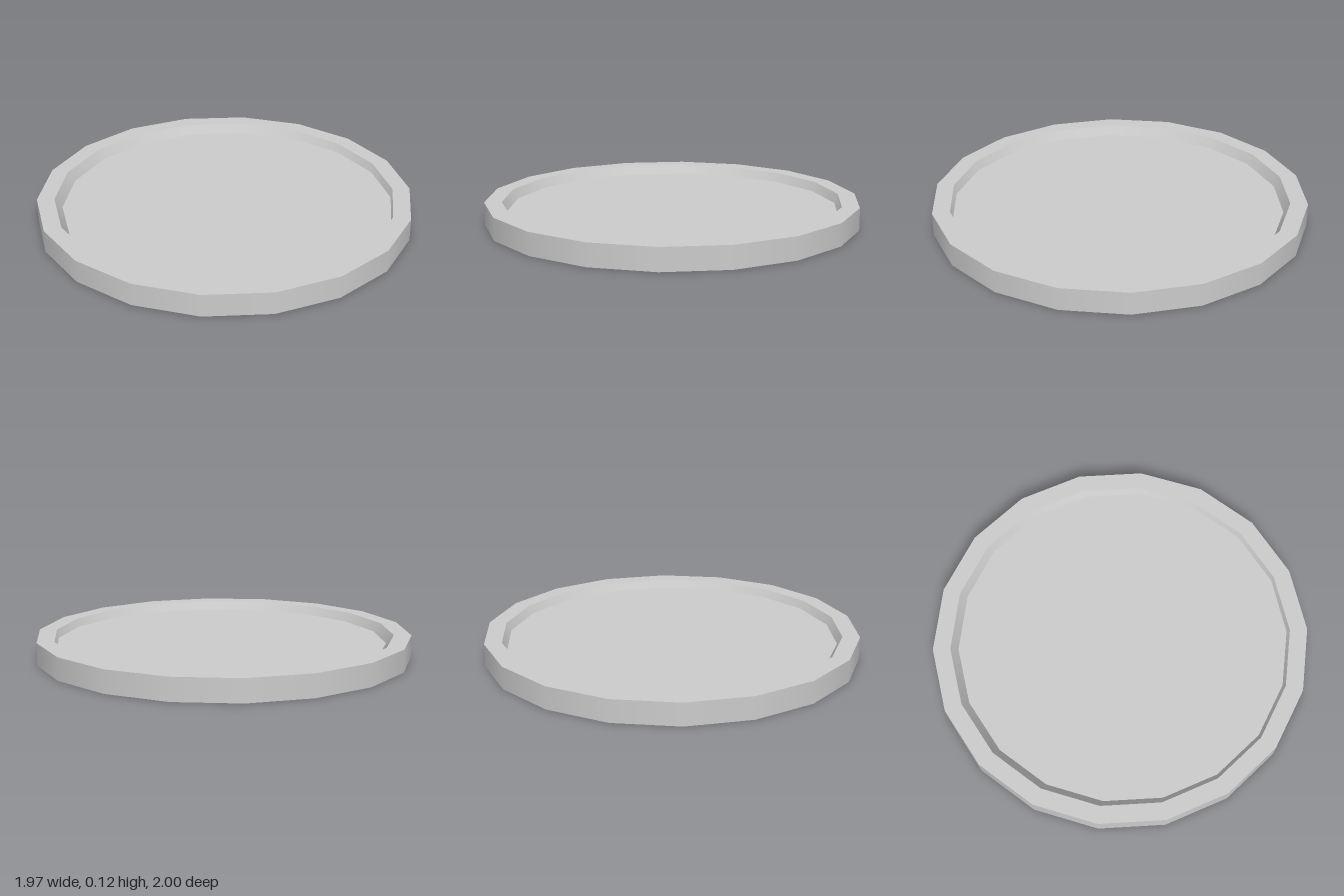
import * as THREE from 'three';

const SIDES = 18;
const HEIGHT = 0.12, FLOOR_Y = 0.073;
const OUTER_R = 1, RIM_R = 0.907, FLOOR_R = 0.883;
const FLOOR_X = 0.015, FLOOR_Z = -0.008; // the recess floor sits slightly off centre

export function createModel() {
  const group = new THREE.Group();
  group.name = 'shallowDish';
  const material = new THREE.MeshStandardMaterial({ color: 0xcccccc });
  const doubleSided = new THREE.MeshStandardMaterial({ color: 0xcccccc, side: THREE.DoubleSide });

  const add = (name, geometry, mat = material) => {
    const mesh = new THREE.Mesh(geometry, mat);
    mesh.name = name;
    group.add(mesh);
    return mesh;
  };
  // Flat polygon facing up, with a corner on the z axis
  const disc = (r) => new THREE.CircleGeometry(r, SIDES, Math.PI / 2).rotateX(-Math.PI / 2);

  // Outer wall
  add('outerWall', new THREE.CylinderGeometry(OUTER_R, OUTER_R, HEIGHT, SIDES, 1, true)
    .translate(0, HEIGHT / 2, 0));

  // Flat rim on top
  add('rim', new THREE.RingGeometry(RIM_R, OUTER_R, SIDES, 1, Math.PI / 2)
    .rotateX(-Math.PI / 2).translate(0, HEIGHT, 0));

  // Sloping inner wall, its lower edge shifted to meet the floor
  const depth = HEIGHT - FLOOR_Y;
  const inner = new THREE.CylinderGeometry(RIM_R, FLOOR_R, depth, SIDES, 1, true)
    .translate(0, FLOOR_Y + depth / 2, 0);
  const p = inner.attributes.position;
  for (let i = 0; i < p.count; i++) {
    const t = (HEIGHT - p.getY(i)) / depth;
    p.setX(i, p.getX(i) + FLOOR_X * t);
    p.setZ(i, p.getZ(i) + FLOOR_Z * t);
  }
  add('innerWall', inner, doubleSided);

  // Recessed floor and underside
  add('floor', disc(FLOOR_R).translate(FLOOR_X, FLOOR_Y, FLOOR_Z));
  add('base', disc(OUTER_R).rotateX(Math.PI));

  return group;
}
